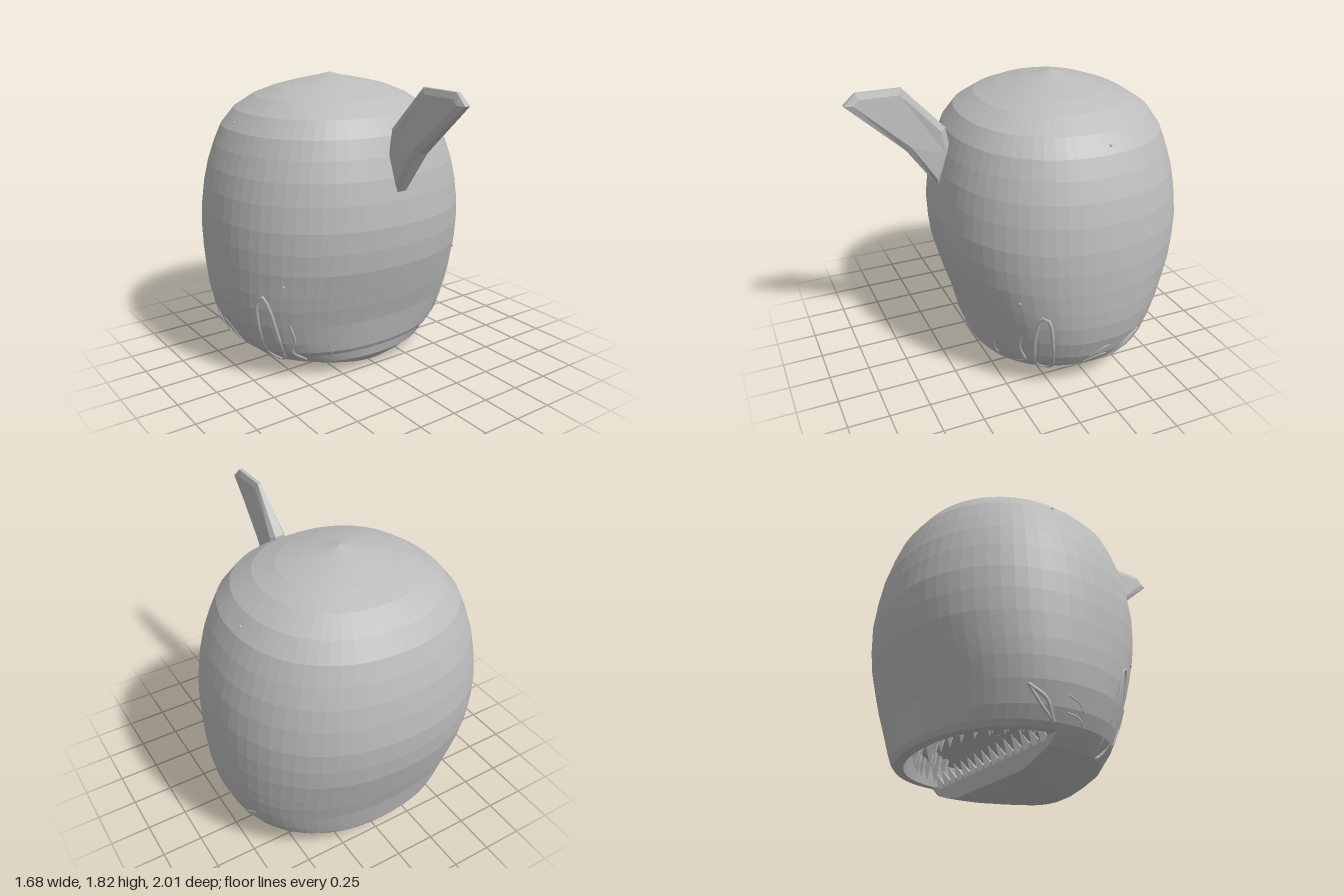
import * as THREE from 'three';

const grey = new THREE.MeshStandardMaterial({ color: 0xbcbcbc });
grey.name = 'plain grey';

const CENTRE = -0.25; // z of the body's axis
const LIP = -0.32;    // z where the lower jaw stops
const POWER = 2.2;    // roundness of every cross-section

// [height, half width, half depth], top to bottom
const PROFILE = [
  [1.82, 0.002, 0.002], [1.8, 0.08, 0.075], [1.775, 0.21, 0.19], [1.74, 0.36, 0.31], [1.69, 0.48, 0.45],
  [1.61, 0.60, 0.575], [1.51, 0.685, 0.645], [1.4, 0.735, 0.685], [1.28, 0.778, 0.72], [1.15, 0.81, 0.742],
  [1.0, 0.832, 0.757], [0.87, 0.84, 0.75], [0.74, 0.84, 0.732], [0.6, 0.835, 0.692], [0.5, 0.826, 0.662],
  [0.38, 0.803, 0.622], [0.26, 0.757, 0.594], [0.19, 0.715, 0.578], [0.16, 0.685, 0.56],
];
const JAW = [
  [0.16, 0.685, 0.56], [0.1, 0.61, 0.545], [0.06, 0.49, 0.51], [0.03, 0.36, 0.475],
];

function ring([y, a, b, c = CENTRE], clip = -9, n = 64) {
  const pts = [];
  for (let i = 0; i < n; i++) {
    const t = (i / n) * Math.PI * 2, u = Math.cos(t), v = Math.sin(t);
    const x = a * Math.sign(u) * Math.abs(u) ** (2 / POWER);
    const z = c + b * Math.sign(v) * Math.abs(v) ** (2 / POWER);
    pts.push([x, y, Math.max(z, clip)]);
  }
  return pts;
}

// Faceted skin over a stack of rings
function loft(rings) {
  const pos = [], n = rings[0].length;
  for (let i = 0; i < rings.length - 1; i++) {
    for (let j = 0; j < n; j++) {
      const k = (j + 1) % n;
      const A = rings[i][j], B = rings[i][k], C = rings[i + 1][j], D = rings[i + 1][k];
      pos.push(...A, ...B, ...C, ...B, ...D, ...C);
    }
  }
  const g = new THREE.BufferGeometry();
  g.setAttribute('position', new THREE.Float32BufferAttribute(pos, 3));
  g.computeVertexNormals();
  return g;
}

// Point of the skin at a given height and depth, on one side
function onSkin(z, y, side) {
  let i = 0;
  const list = [...PROFILE, ...JAW.slice(1)];
  while (i < list.length - 2 && list[i + 1][0] > y) i++;
  const [y0, a0, b0] = list[i], [y1, a1, b1] = list[i + 1];
  const f = THREE.MathUtils.clamp((y0 - y) / (y0 - y1), 0, 1);
  const a = a0 + (a1 - a0) * f, b = b0 + (b1 - b0) * f;
  const r = Math.min(1, Math.abs((z - CENTRE) / b));
  return new THREE.Vector3(side * a * (1 - r ** POWER) ** (1 / POWER), y, z);
}

export function createModel() {
  const model = new THREE.Group();
  const add = (geometry, name, parent = model) => {
    const m = new THREE.Mesh(geometry, grey);
    m.name = name;
    parent.add(m);
    return m;
  };

  // Body, with the upper lip turned in to a hollow mouth
  add(loft([
    ...PROFILE.map((p) => ring(p)),
    ring([0.16, 0.64, 0.5]), ring([0.3, 0.61, 0.47]), ring([0.34, 0.002, 0.002]),
  ]), 'body');

  // Lower jaw, cut flat at the back
  add(loft([
    ring([0.16, 0.002, 0.002, 0]),
    ...JAW.map((p) => ring(p, LIP)),
    ring([0.008, 0.2, 0.2, -0.02]), ring([0, 0.002, 0.002, 0.02]),
  ]), 'lowerJaw');

  // Teeth: two rows along the upper lip, one on the jaw
  const teeth = new THREE.Group();
  teeth.name = 'teeth';
  model.add(teeth);
  const tooth = (x, y, z, h, tilt, name) => {
    const g = new THREE.ConeGeometry(0.035, h, 4).toNonIndexed();
    g.computeVertexNormals();
    const m = add(g, name, teeth);
    m.position.set(x, y, z);
    m.rotation.x = tilt;
  };
  for (const [row, a, b, count] of [[0, 0.59, 0.45, 17], [1, 0.52, 0.35, 14]]) {
    for (let i = 0; i < count; i++) {
      const t = Math.PI * (1.08 + (0.84 * i) / (count - 1));
      tooth(a * Math.cos(t), 0.225 + row * 0.02, CENTRE + b * Math.sin(t), 0.12, Math.PI, 'upperTooth');
    }
  }
  for (let i = 0; i < 15; i++) {
    tooth(-0.56 + i * 0.08, 0.19, LIP - 0.02, 0.11, -0.6, 'lowerTooth');
  }

  // Fin: bevelled blade, thinner towards its tip
  const outline = [[1.0, 1.75], [0.93, 1.815], [0.67, 1.815], [0.43, 1.56], [0.4, 1.4], [0.49, 1.2], [0.67, 1.45]];
  const shape = new THREE.Shape(outline.map(([z, y]) => new THREE.Vector2(-z, y)));
  let fin = new THREE.ExtrudeGeometry(shape, {
    depth: 0.06, bevelThickness: 0.022, bevelSize: 0.035, bevelOffset: -0.035, bevelSegments: 1,
  });
  fin.translate(0, 0, -0.03);
  fin.rotateY(Math.PI / 2);
  const p = fin.attributes.position;
  for (let i = 0; i < p.count; i++) {
    const pinch = THREE.MathUtils.clamp((p.getY(i) - 1.55) / 0.265, 0, 1);
    p.setX(i, p.getX(i) * (1 - 0.6 * pinch));
  }
  if (fin.index) fin = fin.toNonIndexed();
  fin.computeVertexNormals();
  add(fin, 'fin');

  // Skin folds as [z, y] paths: a long loop, then short creases
  const folds = [
    { path: [[0.12, 0.59], [0.14, 0.5], [0.125, 0.3], [0.07, 0.14], [0.01, 0.1], [0.0, 0.16], [0.05, 0.38], [0.09, 0.57]], r: 0.011, closed: true },
    { path: [[0.2, 0.41], [0.19, 0.3], [0.15, 0.2], [0.16, 0.13]], r: 0.009 },
    { path: [[0.28, 0.25], [0.27, 0.19], [0.24, 0.14]], r: 0.005 },
    { path: [[-0.36, 0.19], [-0.43, 0.29], [-0.53, 0.355]], r: 0.011 },
    { path: [[-0.36, 0.19], [-0.45, 0.26], [-0.53, 0.355]], r: 0.009 },
    { path: [[-0.19, 0.25], [-0.25, 0.3], [-0.31, 0.32]], r: 0.005 },
    { path: [[-0.17, 0.19], [-0.23, 0.23], [-0.3, 0.24]], r: 0.005 },
  ];
  for (const side of [1, -1]) {
    const name = side > 0 ? 'left' : 'right';
    for (const { path, r, closed = false } of folds) {
      const curve = new THREE.CatmullRomCurve3(path.map(([z, y]) => onSkin(z, y, side)), closed);
      add(new THREE.TubeGeometry(curve, 28, r, 6, closed), name + 'SkinFold');
    }
    // Tiny bumps on the flank and crown
    for (const [z, y] of [[0.23, 0.67], [-0.31, 1.55]]) {
      add(new THREE.SphereGeometry(0.009, 8, 6), name + 'Bump').position.copy(onSkin(z, y, side));
    }
  }
  return model;
}
